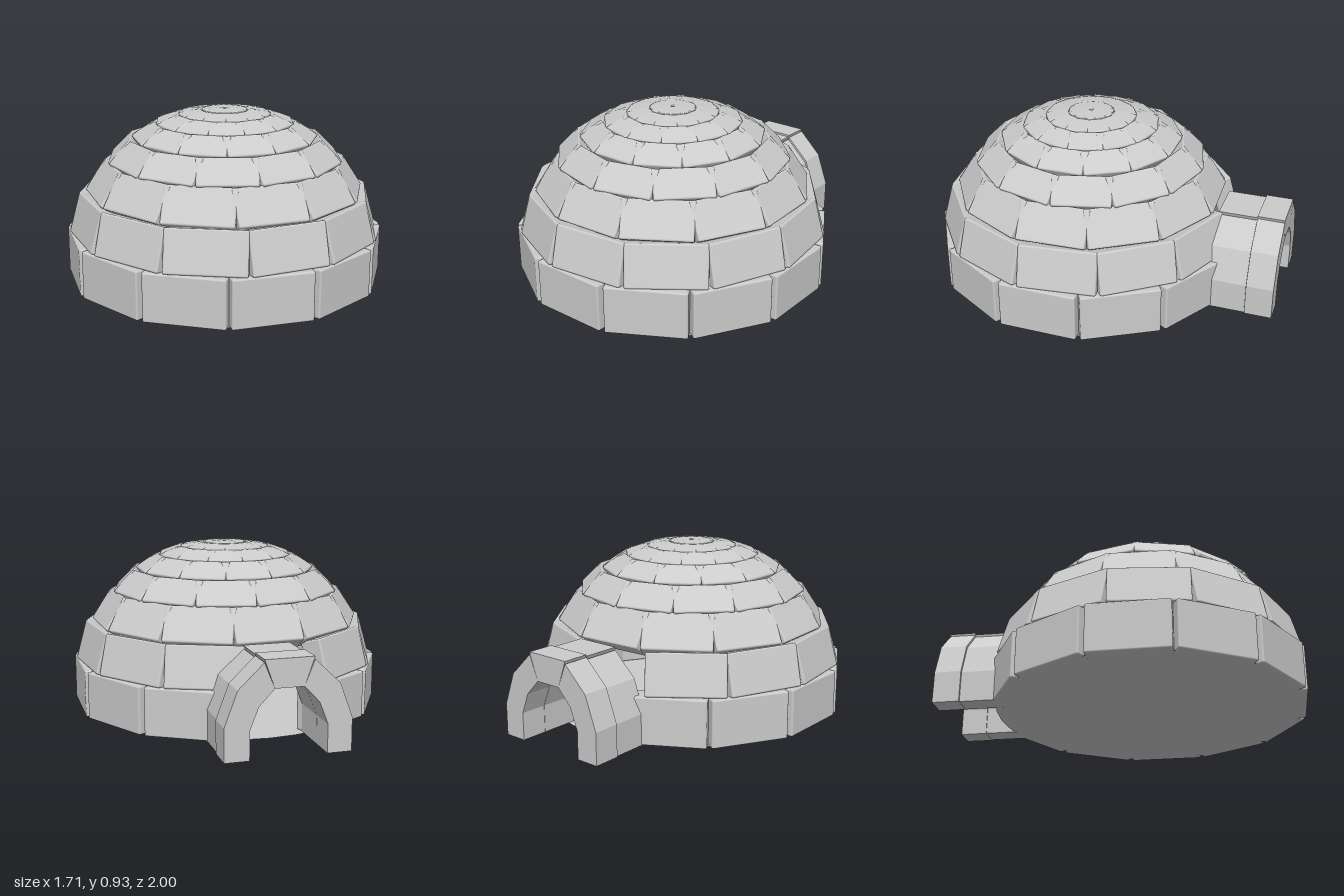
import * as THREE from 'three';
import { RoundedBoxGeometry } from 'three/addons/geometries/RoundedBoxGeometry.js';

const mat = new THREE.MeshStandardMaterial({ color: 0xcccccc });
const DOME_Z = 0.14, COUNT = 12;

// Each course: bottom radius, bottom y, top radius, top y, turn in degrees
const courses = [
  [0.855, 0.0, 0.855, 0.262, 0],
  [0.84, 0.264, 0.778, 0.485, 7],
  [0.75, 0.487, 0.635, 0.66, 3],
  [0.635, 0.661, 0.515, 0.78, 15],
  [0.5, 0.781, 0.375, 0.86, 0],
  [0.375, 0.861, 0.25, 0.906, 15],
  [0.25, 0.906, 0.125, 0.925, 0],
  [0.125, 0.925, 0.01, 0.93, 15],
];

// One ring of leaning rounded blocks
function course([r0, y0, r1, y1, turn], index) {
  const ring = new THREE.Group();
  ring.name = 'blockCourse' + (index + 1);
  const lean = Math.atan2(r0 - r1, y1 - y0);
  const h = Math.hypot(r0 - r1, y1 - y0);
  const w = 2 * r0 * Math.tan(Math.PI / COUNT) * 0.935;
  const depth = index < 4 ? 0.12 : 0.08;
  const geo = new RoundedBoxGeometry(w, h, depth, 2, Math.min(0.01, w * 0.08));
  geo.translate(0, 0, -depth / 2);
  geo.rotateX(-lean);
  geo.translate(0, (y0 + y1) / 2, (r0 + r1) / 2);
  for (let i = 0; i < COUNT; i++) {
    // leave the doorway open at the back of the two lowest courses
    if (index < 2 && i === COUNT / 2) continue;
    const block = new THREE.Mesh(geo, mat);
    block.name = 'snowBlock';
    block.rotation.y = (i * 2 * Math.PI) / COUNT + THREE.MathUtils.degToRad(turn);
    ring.add(block);
  }
  return ring;
}

// Arch outlines from the right foot over the top to the left foot
const mirror = (half) => [...half, ...half.slice().reverse().map(([x, y]) => [-x, y])];
const outer = mirror([[0.32, 0], [0.32, 0.17], [0.255, 0.345], [0.125, 0.47]]);
const inner = mirror([[0.2, 0], [0.2, 0.15], [0.155, 0.265], [0.075, 0.35]]);

// A ring of wedge blocks between the two outlines
function archRing(name, z0, z1, grow, crown) {
  const arch = new THREE.Group();
  arch.name = name;
  for (let i = 0; i < outer.length - 1; i++) {
    const lift = i === 3 ? crown : 0; // the keystone stands proud
    const corners = [inner[i], outer[i], outer[i + 1], inner[i + 1]].map(([x, y], k) =>
      k === 1 || k === 2 ? new THREE.Vector2(x * grow, y * grow + lift) : new THREE.Vector2(x, y));
    const geo = new THREE.ExtrudeGeometry(new THREE.Shape(corners), { depth: z1 - z0, bevelEnabled: false });
    geo.translate(0, 0, z0);
    const wedge = new THREE.Mesh(geo, mat);
    wedge.name = 'archBlock';
    arch.add(wedge);
  }
  return arch;
}

export function createModel() {
  const model = new THREE.Group();
  model.name = 'snowHouse';

  // Dome of stacked block rings
  const dome = new THREE.Group();
  dome.name = 'dome';
  dome.position.z = DOME_Z;
  courses.forEach((c, i) => dome.add(course(c, i)));

  // Floor disc
  const floorMat = mat.clone();
  floorMat.side = THREE.DoubleSide;
  const floor = new THREE.Mesh(new THREE.CircleGeometry(0.845, 36), floorMat);
  floor.name = 'floor';
  floor.rotation.x = Math.PI / 2;
  floor.position.y = 0.001;
  dome.add(floor);
  model.add(dome);

  // Entrance tunnel of two arches
  model.add(archRing('tunnelInnerArch', -0.85, -0.64, 1, 0.016));
  model.add(archRing('tunnelOuterArch', -1, -0.852, 1.025, 0.014));
  return model;
}
